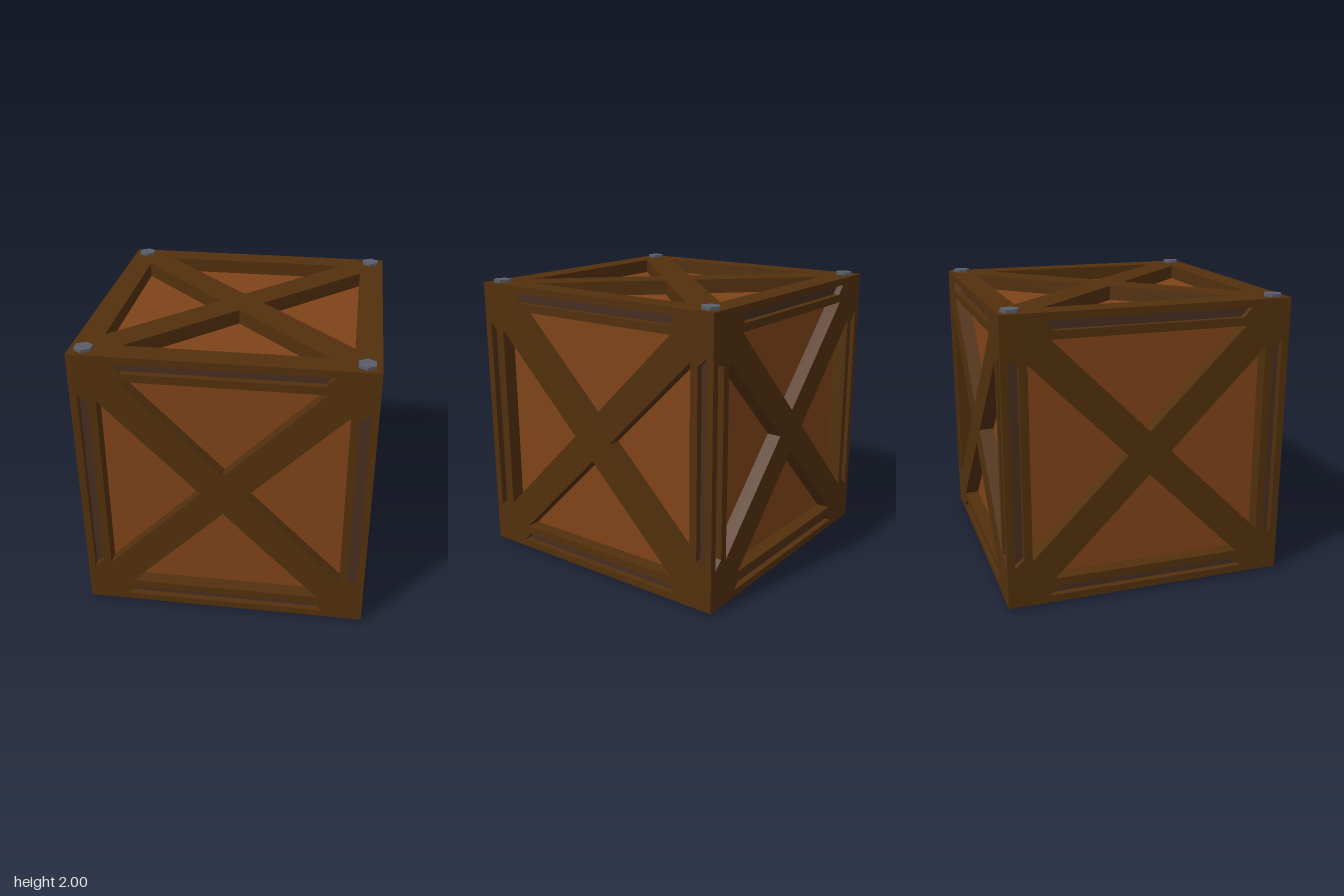
import * as THREE from 'three';

const HALF = 0.98, PANEL = 0.88, FLOOR = 0.935; // outer face, panel face, slot floor

const paint = (color) => new THREE.MeshStandardMaterial({ color });

function mesh(name, geometry, material) {
  const m = new THREE.Mesh(geometry, material);
  m.name = name;
  return m;
}

// The same outline turned to each of the four sides of a face
function fourWays(points) {
  return [0, 1, 2, 3].map((k) => points.map(([x, y]) =>
    new THREE.Vector2(x, y).rotateAround(new THREE.Vector2(), k * Math.PI / 2)));
}

const openings = fourWays([[0, 0.15], [0.66, 0.81], [-0.66, 0.81]]);
const slots = fourWays([[-0.64, 0.865], [0.64, 0.865], [0.7, 0.93], [-0.7, 0.93]]);

// Square frame with crossed braces; its rim is mitred to meet the next face
function frameGeometry(hasSlots) {
  const shape = new THREE.Shape([[-1, -1], [1, -1], [1, 1], [-1, 1]].map(([x, y]) =>
    new THREE.Vector2(x * HALF, y * HALF)));
  for (const hole of hasSlots ? [...openings, ...slots] : openings) {
    shape.holes.push(new THREE.Path(hole));
  }
  const geometry = new THREE.ExtrudeGeometry(shape, { depth: HALF - PANEL, bevelEnabled: false });
  geometry.translate(0, 0, PANEL);
  const p = geometry.attributes.position;
  for (let i = 0; i < p.count; i++) {
    const reach = Math.max(Math.abs(p.getX(i)), Math.abs(p.getY(i)));
    if (p.getZ(i) > PANEL + 0.01 || reach < 0.85) continue;
    // Slots are shallower than the openings, and the rim tapers at 45 degrees
    const s = reach > 0.97 ? FLOOR / HALF : 1;
    p.setXYZ(i, p.getX(i) * s, p.getY(i) * s, FLOOR);
  }
  geometry.computeVertexNormals();
  return geometry;
}

export function createModel() {
  const model = new THREE.Group();
  model.name = 'crate';
  const crate = new THREE.Group();
  crate.name = 'crateBody';
  crate.position.y = 1;
  model.add(crate);

  const frameWood = paint(0x52300d);
  const panelWood = paint(0x7f4318);
  const slotWood = paint(0x472e20);
  const steel = paint(0x5a5d68);

  // Recessed panels
  crate.add(mesh('panels', new THREE.BoxGeometry(2 * PANEL, 2 * PANEL, 2 * PANEL), panelWood));

  // Four upright faces with grooved borders
  const sideGeometry = frameGeometry(true);
  const slotGeometry = new THREE.ShapeGeometry(slots.map((s) => new THREE.Shape(s)));
  slotGeometry.translate(0, 0, FLOOR);
  ['front', 'left', 'back', 'right'].forEach((name, i) => {
    const face = new THREE.Group();
    face.name = name + 'Face';
    face.rotation.y = i * Math.PI / 2;
    face.add(mesh('bracedFrame', sideGeometry, frameWood), mesh('grooveFloors', slotGeometry, slotWood));
    crate.add(face);
  });

  // Plain top and bottom faces, with a hexagonal bolt at each corner
  const lidGeometry = frameGeometry(false);
  const boltGeometry = new THREE.CylinderGeometry(0.063, 0.063, 0.04, 6).toNonIndexed();
  boltGeometry.computeVertexNormals();
  for (const side of [1, -1]) {
    const lid = mesh(side > 0 ? 'topFrame' : 'bottomFrame', lidGeometry, frameWood);
    lid.rotation.x = -side * Math.PI / 2;
    crate.add(lid);
    for (const x of [-0.885, 0.885]) {
      for (const z of [-0.89, 0.89]) {
        const bolt = mesh('bolt', boltGeometry, steel);
        bolt.position.set(x, side * 0.98, z);
        crate.add(bolt);
      }
    }
  }
  return model;
}
